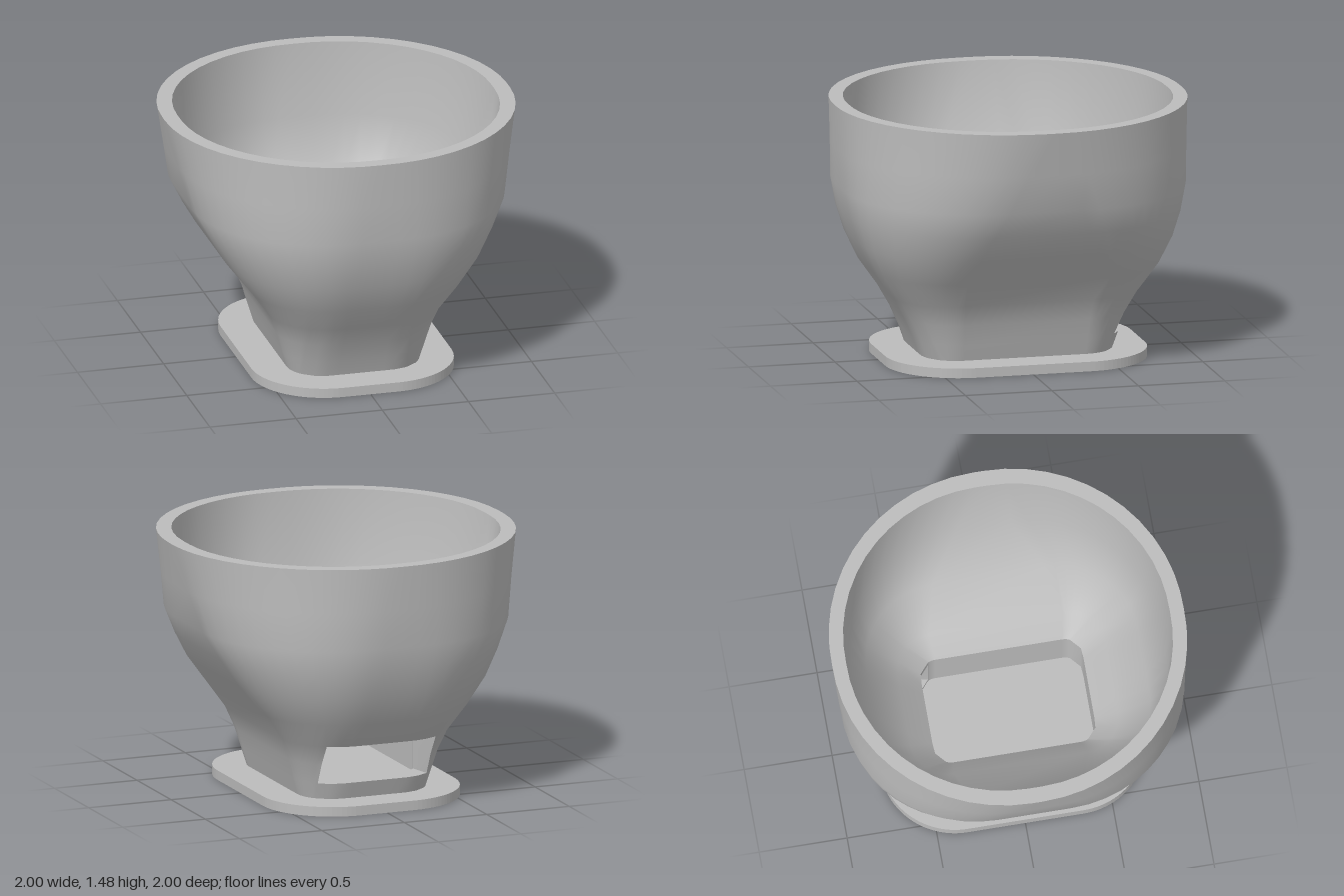
import * as THREE from 'three';

const N = 10; // columns across the front or back face
const M = 8;  // columns around each corner
const BACK = N + 1 + 2 * M; // first column of the back face

// Closed rounded-rectangle cross-section: height, half width, half depth, corner radius, face half width
function ring([y, a, c, r, xs]) {
  const half = [];
  const depth = (x) => {
    const d = Math.max(0, Math.abs(x) - (a - r));
    return c - r + Math.sqrt(Math.max(0, r * r - d * d));
  };
  for (let i = 0; i <= N; i++) {
    const x = -xs + (2 * xs * i) / N;
    half.push([x, y, depth(x)]);
  }
  const start = Math.acos(Math.min(1, Math.max(-1, (xs - (a - r)) / r)));
  const corner = [];
  for (let k = 1; k <= M; k++) {
    const t = start * (1 - k / M);
    corner.push([a - r + r * Math.cos(t), y, c - r + r * Math.sin(t)]);
  }
  half.push(...corner, ...corner.map(([x, h, z]) => [x, h, -z]).reverse());
  return [...half, ...half.map(([x, h, z]) => [-x, h, -z])];
}

// Skin between rows of points; skip(i, j) leaves a quad open
function loft(rows, closed = true, skip = () => false) {
  const n = rows[0].length;
  const index = [];
  for (let i = 0; i < rows.length - 1; i++) {
    for (let j = 0; j < (closed ? n : n - 1); j++) {
      if (skip(i, j)) continue;
      const k = (j + 1) % n;
      const a = i * n + j, b = i * n + k, c = a + n, d = b + n;
      index.push(a, b, d, a, d, c);
    }
  }
  const g = new THREE.BufferGeometry();
  g.setAttribute('position', new THREE.Float32BufferAttribute(rows.flat(2), 3));
  g.setIndex(index);
  g.computeVertexNormals();
  return g;
}

export function createModel() {
  const group = new THREE.Group();
  const grey = new THREE.MeshStandardMaterial({ color: 0xbcbcbc });
  grey.name = 'grey';
  const add = (name, geometry) => {
    const mesh = new THREE.Mesh(geometry, grey);
    mesh.name = name;
    group.add(mesh);
    return mesh;
  };
  const onBack = (j) => j >= BACK && j < BACK + N;

  // Base plate
  const w = 0.58, d = 0.75, r = 0.42;
  const outline = new THREE.Shape();
  outline.absarc(w - r, d - r, r, 0, Math.PI / 2);
  outline.absarc(r - w, d - r, r, Math.PI / 2, Math.PI);
  outline.absarc(r - w, r - d, r, Math.PI, Math.PI * 1.5);
  outline.absarc(w - r, r - d, r, Math.PI * 1.5, Math.PI * 2);
  const plate = new THREE.ExtrudeGeometry(outline, { depth: 0.055, bevelEnabled: false, curveSegments: 12 });
  add('basePlate', plate.rotateX(-Math.PI / 2));

  // Outer shell, with the outlet left open between rows 1 and 3
  const outer = [
    [0.05, 0.38, 0.55, 0.2, 0.33],
    [0.15, 0.41, 0.585, 0.23, 0.33],
    [0.27, 0.445, 0.64, 0.28, 0.33],
    [0.39, 0.495, 0.71, 0.34, 0.33],
    [0.54, 0.6, 0.815, 0.43, 0.38],
    [0.7, 0.725, 0.89, 0.55, 0.44],
    [0.85, 0.815, 0.94, 0.66, 0.48],
    [1.0, 0.895, 0.97, 0.76, 0.52],
    [1.22, 0.945, 0.985, 0.87, 0.54],
    [1.475, 1.0, 1.0, 0.97, 0.56],
  ].map(ring);
  add('outerShell', loft(outer, true, (i, j) => (i === 1 || i === 2) && onBack(j)));

  // Funnel inside
  const funnel = [
    [1.475, 0.91, 0.92, 0.88, 0.52],
    [1.05, 0.82, 0.88, 0.72, 0.46],
    [0.75, 0.64, 0.77, 0.45, 0.42],
    [0.55, 0.42, 0.59, 0.21, 0.36],
    [0.43, 0.31, 0.46, 0.1, 0.3],
  ].map(ring);
  add('funnel', loft(funnel));
  add('rim', loft([outer[outer.length - 1], funnel[0]]));

  // Straight neck under the funnel, open at the outlet
  const neck = [0.43, 0.39, 0.15, 0.13].map((y) => ring([y, 0.31, 0.46, 0.1, 0.3]));
  add('neck', loft(neck, true, (i, j) => i === 1 && onBack(j)));
  add('neckFloor', loft([neck[3], neck[3].map(() => [0, 0.13, 0])]));

  // Outlet passage through the back wall
  const face = (row) => row.slice(BACK, BACK + N + 1);
  const lowOut = face(outer[1]), midOut = face(outer[2]), highOut = face(outer[3]);
  const highIn = face(neck[1]), lowIn = face(neck[2]);
  add('outletCeiling', loft([highIn, highOut], false));
  add('outletSill', loft([lowOut, lowIn], false));
  for (const [name, j] of [['outletLeftSide', 0], ['outletRightSide', N]]) {
    const middle = lowIn[j].map((v, k) => (v + highIn[j][k]) / 2);
    const rows = [[lowOut[j], lowIn[j]], [midOut[j], middle], [highOut[j], highIn[j]]];
    add(name, loft(j ? rows.map((p) => [...p].reverse()) : rows, false));
  }
  return group;
}
